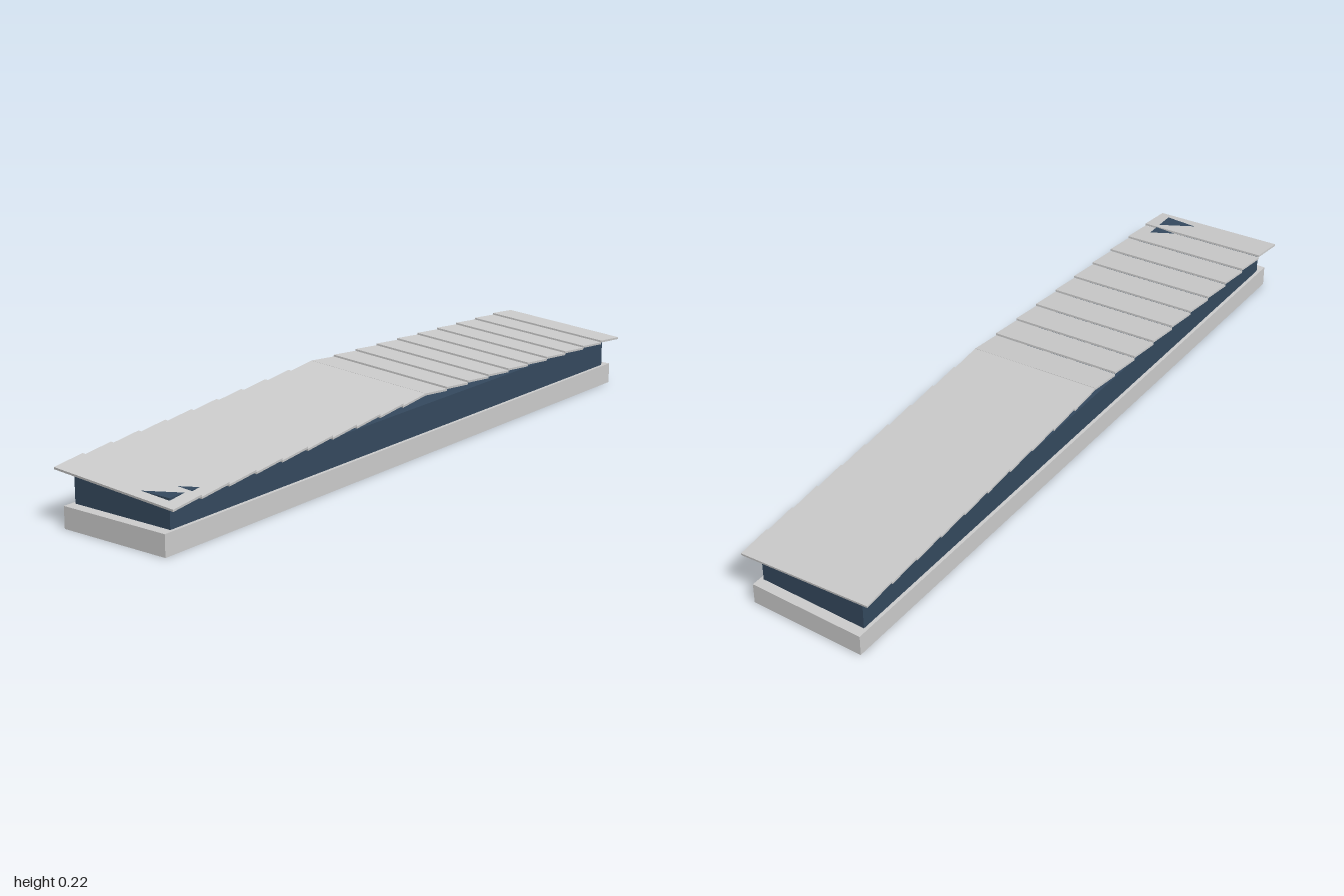
import * as THREE from 'three';

export function createModel() {
  const model = new THREE.Group();
  const grey = new THREE.MeshStandardMaterial({ color: 0xcccccc });
  const blue = new THREE.MeshStandardMaterial({ color: 0x34495e });

  function box(name, w, h, d, y, material) {
    const mesh = new THREE.Mesh(new THREE.BoxGeometry(w, h, d), material);
    mesh.name = name;
    mesh.position.y = y;
    return mesh;
  }

  // Plinth and walls
  model.add(box('base', 2, 0.06, 0.34, 0.03, grey));
  model.add(box('walls', 1.94, 0.08, 0.32, 0.1, blue));

  // Shingled roof: each panel is steeper than the overall slope, so it steps
  // over its neighbour; the whole roof also leans down toward the front.
  const roof = new THREE.Group();
  roof.name = 'roof';
  const slopes = [
    { side: -1, eave: 0.144, ridge: 0.1947, tilt: 0.12 },
    { side: 1, eave: 0.1632, ridge: 0.1962, tilt: 0.09 },
  ];
  for (const { side, eave, ridge, tilt } of slopes) {
    for (let i = 0; i < 10; i++) {
      const y = THREE.MathUtils.lerp(ridge, eave, i / 9);
      const panel = box('roofPanel', 0.1, 0.006, 0.4, y, grey);
      panel.position.x = side * (0.05 + i * 0.1);
      panel.rotation.set(0.069, 0, -side * tilt);
      roof.add(panel);
    }
  }
  model.add(roof);
  return model;
}
